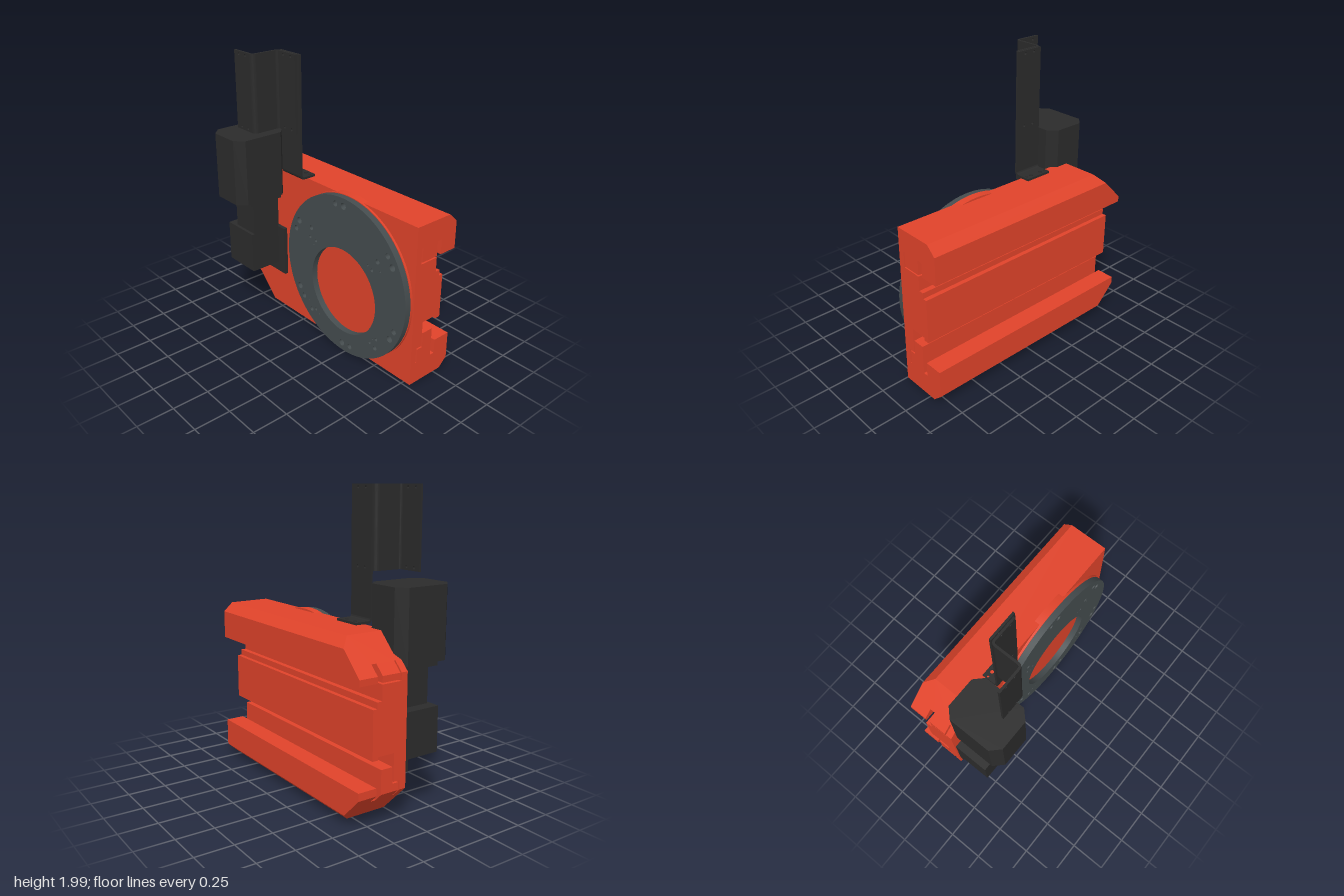
import * as THREE from 'three';
import { toCreasedNormals } from 'three/addons/utils/BufferGeometryUtils.js';

const red = new THREE.MeshStandardMaterial({ color: 0xe0432a });
const slate = new THREE.MeshStandardMaterial({ color: 0x454c4e });
const black = new THREE.MeshStandardMaterial({ color: 0x2b2b2b });

const polygon = (pts) => new THREE.Shape(pts.map(([x, y]) => new THREE.Vector2(x, y)));
const rect = (x0, y0, x1, y1) => polygon([[x0, y0], [x1, y0], [x1, y1], [x0, y1]]);

function circlePoints(x, y, r, n) {
  return Array.from({ length: n }, (_, i) => {
    const a = (i / n) * Math.PI * 2;
    return new THREE.Vector2(x + r * Math.cos(a), y + r * Math.sin(a));
  });
}

// holes: [x, y, radius]
function drill(shape, holes) {
  for (const [x, y, r] of holes) {
    shape.holes.push(new THREE.Path(circlePoints(x, y, r, r > 0.1 ? 96 : 16)));
  }
  return shape;
}

// Quarter ring for sheet metal bends
function bendShape(x, y, start, inner = 0.015, outer = 0.03) {
  const s = new THREE.Shape();
  s.absarc(x, y, outer, start, start + Math.PI / 2, false);
  s.absarc(x, y, inner, start + Math.PI / 2, start, true);
  return s;
}

const extrude = (shape, depth) =>
  new THREE.ExtrudeGeometry(shape, { depth, bevelEnabled: false, curveSegments: 8 });

// Extrusions along each axis: shape coordinates are (x,y), (x,-z) and (-z,y)
const alongZ = (shape, z0, z1) => extrude(shape, z1 - z0).translate(0, 0, z0);
const alongY = (shape, y0, y1) => extrude(shape, y1 - y0).rotateX(-Math.PI / 2).translate(0, y0, 0);
const alongX = (shape, x0, x1) => extrude(shape, x1 - x0).rotateY(Math.PI / 2).translate(x0, 0, 0);

function add(parent, name, geometry, material) {
  const mesh = new THREE.Mesh(toCreasedNormals(geometry, 0.5), material);
  mesh.name = name;
  parent.add(mesh);
  return mesh;
}

function box(parent, name, [x0, x1], [y0, y1], [z0, z1], material) {
  const g = new THREE.BoxGeometry(x1 - x0, y1 - y0, z1 - z0);
  g.translate((x0 + x1) / 2, (y0 + y1) / 2, (z0 + z1) / 2);
  return add(parent, name, g, material);
}

// Slotted housing: profile bands run along x, the -x end is cut at 45 degrees
function createHousing() {
  const group = new THREE.Group();
  group.name = 'housing';
  const edgeBand = (edge, corner, slot, cut) => polygon([
    [0.015, edge], [0.3, edge], [0.365, corner], [0.365, cut], [0.235, cut], [0.235, slot],
    [0.2, slot], [0.2, cut], [0.07, cut], [0.07, slot], [0.06, slot], [0.06, cut], [0.015, cut],
  ]);
  const bands = {
    lowerRail: edgeBand(0.02, 0.08, 0.17, 0.22),
    upperRail: edgeBand(1.15, 1.09, 1.0, 0.94),
    core: polygon([
      [0.015, 0.22], [0.06, 0.22], [0.06, 0.28], [0.107, 0.28], [0.107, 0.46], [0.225, 0.46],
      [0.225, 0.44], [0.265, 0.44], [0.265, 0.75], [0.235, 0.75], [0.235, 0.79], [0.2, 0.79],
      [0.2, 0.89], [0.06, 0.89], [0.06, 0.94], [0.015, 0.94],
    ]),
    lowerTongue: polygon([
      [0.07, 0.22], [0.2, 0.22], [0.2, 0.375], [0.115, 0.375], [0.115, 0.27], [0.07, 0.27],
    ]),
    upperTongue: rect(0.07, 0.9, 0.2, 0.94),
    lowerLip: rect(0.235, 0.22, 0.365, 0.27),
    upperLip: rect(0.235, 0.9, 0.365, 0.94),
  };
  for (const [name, shape] of Object.entries(bands)) {
    const g = alongX(shape, -0.815, 0.81);
    const p = g.attributes.position;
    for (let i = 0; i < p.count; i++) {
      if (p.getX(i) > 0) continue;
      const y = p.getY(i);
      p.setX(i, -0.815 + Math.max(0, 0.22 - y, y - 0.94));
    }
    g.computeVertexNormals();
    add(group, name, g, red);
  }
  return group;
}

// Round faceplate with an off-centre opening and bolt holes
function createFaceplate() {
  const group = new THREE.Group();
  group.name = 'faceplate';
  const cx = 0.223, cy = 0.586;
  add(group, 'seatRing', alongZ(new THREE.Shape(circlePoints(cx, cy, 0.578, 128)), -0.055, 0), red);

  const holes = [[cx, 0.48, 0.312]];
  for (let i = 0; i < 6; i++) {
    for (const [offset, r] of [[0, 0.024], [8.6, 0.02]]) {
      const a = THREE.MathUtils.degToRad(30 + i * 60 + offset);
      holes.push([cx + 0.518 * Math.cos(a), cy + 0.518 * Math.sin(a), r]);
    }
  }
  for (const sx of [-1, 1]) {
    for (const sy of [-1, 1]) holes.push([cx + sx * 0.32, 0.512 + sy * 0.322, 0.017]);
  }
  holes.push(
    [-0.108, 0.764, 0.011], [-0.05, 0.754, 0.011], [-0.072, 0.717, 0.005],
    [0.458, 0.775, 0.006], [0.495, 0.754, 0.012], [0.569, 0.775, 0.006],
    [-0.13, 0.25, 0.005], [-0.05, 0.209, 0.011], [-0.013, 0.188, 0.005],
    [0.495, 0.209, 0.011], [0.521, 0.25, 0.005], [0.553, 0.262, 0.012],
  );
  const disc = new THREE.Shape(circlePoints(cx, cy, 0.573, 128));
  add(group, 'disc', alongZ(drill(disc, holes), 0, 0.044), slate);
  return group;
}

// Drive: gearbox on a mounting plate, neck, flange and chamfered motor
function createDrive() {
  const group = new THREE.Group();
  group.name = 'drive';
  box(group, 'mountingPlate', [-0.805, -0.443], [0.315, 0.685], [-0.015, 0.012], black);
  box(group, 'gearbox', [-0.805, -0.517], [0.39, 0.685], [0.012, 0.242], black);
  box(group, 'neck', [-0.73, -0.517], [0.685, 0.925], [0.005, 0.22], black);
  box(group, 'flange', [-0.765, -0.477], [0.925, 0.955], [0.005, 0.265], black);
  const [l, r, f, b, c] = [-0.784, -0.455, -0.365, 0.048, 0.06];
  add(group, 'motor', alongY(polygon([
    [l + c, f], [r - c, f], [r, f + c], [r, b - c], [r - c, b], [l + c, b], [l, b - c], [l, f + c],
  ]), 0.955, 1.42), black);
  return group;
}

// Bent sheet bracket: foot and upright, plus a Z-section on the upper half
function createBracket() {
  const group = new THREE.Group();
  group.name = 'bracket';
  const rows = (xs) => xs.flatMap((x) => [[x, 1.495, 0.009], [x, 1.98, 0.009]]);
  const inner = rows([-0.34, -0.265]);

  const foot = drill(rect(-0.4, -0.015, -0.2, 0.08), [
    [-0.385, 0.048, 0.008], [-0.345, 0.048, 0.014], [-0.26, 0.048, 0.014], [-0.22, 0.048, 0.008],
  ]);
  add(group, 'foot', alongY(foot, 1.15, 1.165), black);
  add(group, 'footBend', alongX(bendShape(-0.015, 1.18, Math.PI), -0.4, -0.2), black);
  add(group, 'upright', alongZ(drill(rect(-0.4, 1.18, -0.2, 2), inner), 0.03, 0.045), black);

  add(group, 'innerFlange', alongZ(drill(rect(-0.385, 1.475, -0.22, 2), inner), 0.05, 0.065), black);
  add(group, 'innerBend', alongY(bendShape(-0.385, -0.08, Math.PI / 2), 1.475, 2), black);
  box(group, 'web', [-0.415, -0.4], [1.475, 2], [0.08, 0.235], black);
  add(group, 'outerBend', alongY(bendShape(-0.43, -0.235, -Math.PI / 2), 1.475, 2), black);
  const outer = drill(rect(-0.593, 1.475, -0.43, 2), rows([-0.545, -0.475]));
  add(group, 'outerFlange', alongZ(outer, 0.25, 0.265), black);
  return group;
}

export function createModel() {
  const model = new THREE.Group();
  model.name = 'rotaryTable';
  model.add(createHousing(), createFaceplate(), createDrive(), createBracket());
  return model;
}
